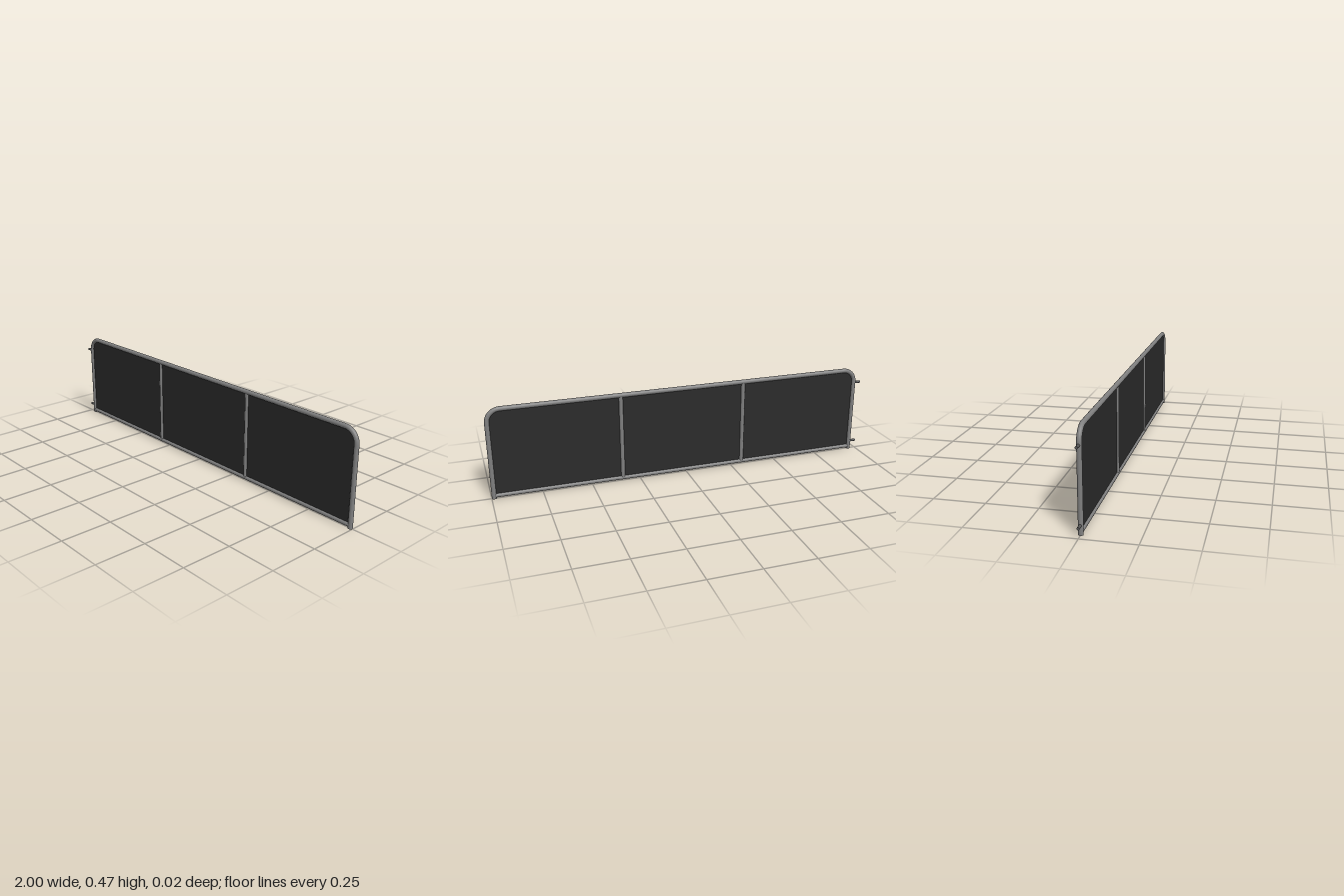
import * as THREE from 'three';

export function createModel() {
  const model = new THREE.Group();
  model.name = 'framedBarrierPanel';

  const frameGrey = new THREE.MeshStandardMaterial({ color: 0x808080 });
  frameGrey.name = 'frameGrey';
  const panelBlack = new THREE.MeshStandardMaterial({ color: 0x2b2b2b });
  panelBlack.name = 'panelBlack';
  const pinGrey = new THREE.MeshStandardMaterial({ color: 0x555555 });
  pinGrey.name = 'pinGrey';

  const left = -0.96, right = 0.988, top = 0.46, bend = 0.065;
  const tube = 0.0115, railY = 0.015;

  function add(name, geometry, material, x, y) {
    const mesh = new THREE.Mesh(geometry, material);
    mesh.name = name;
    mesh.position.set(x, y, 0);
    model.add(mesh);
    return mesh;
  }
  function upright(name, x, y0, y1, radius) {
    add(name, new THREE.CylinderGeometry(radius, radius, y1 - y0, 20), frameGrey, x, (y0 + y1) / 2);
  }
  function level(name, x0, x1, y, radius, material) {
    const bar = new THREE.CylinderGeometry(radius, radius, x1 - x0, 20).rotateZ(Math.PI / 2);
    add(name, bar, material, (x0 + x1) / 2, y);
  }

  // Outer hoop: two legs, two bends and a top rail
  upright('rightLeg', left, 0, top - bend, tube);
  upright('leftLeg', right, 0, top - bend, tube);
  level('topRail', left + bend, right - bend, top, tube, frameGrey);
  const corner = new THREE.TorusGeometry(bend, tube, 20, 16, Math.PI / 2);
  add('leftBend', corner, frameGrey, right - bend, top - bend);
  add('rightBend', corner, frameGrey, left + bend, top - bend).rotation.z = Math.PI / 2;

  // Bottom rail and the two dividing posts
  level('bottomRail', left, right, railY, 0.0105, frameGrey);
  for (const x of [-0.31, 0.34]) upright('dividerPost', x, railY, top, 0.0105);

  // Thin infill sheet with rounded upper corners
  const sheet = new THREE.Shape();
  sheet.moveTo(left, railY);
  sheet.lineTo(right, railY);
  sheet.lineTo(right, top - bend);
  sheet.absarc(right - bend, top - bend, bend, 0, Math.PI / 2, false);
  sheet.lineTo(left + bend, top);
  sheet.absarc(left + bend, top - bend, bend, Math.PI / 2, Math.PI, false);
  sheet.closePath();
  const infill = new THREE.ExtrudeGeometry(sheet, { depth: 0.004, bevelEnabled: false, curveSegments: 16 });
  add('infillPanel', infill.translate(0, 0, -0.002), panelBlack, 0, 0);

  // Mounting pins on the right-hand leg
  for (const y of [0.388, 0.044]) level('mountingPin', -1, left, y, 0.0065, pinGrey);

  return model;
}
